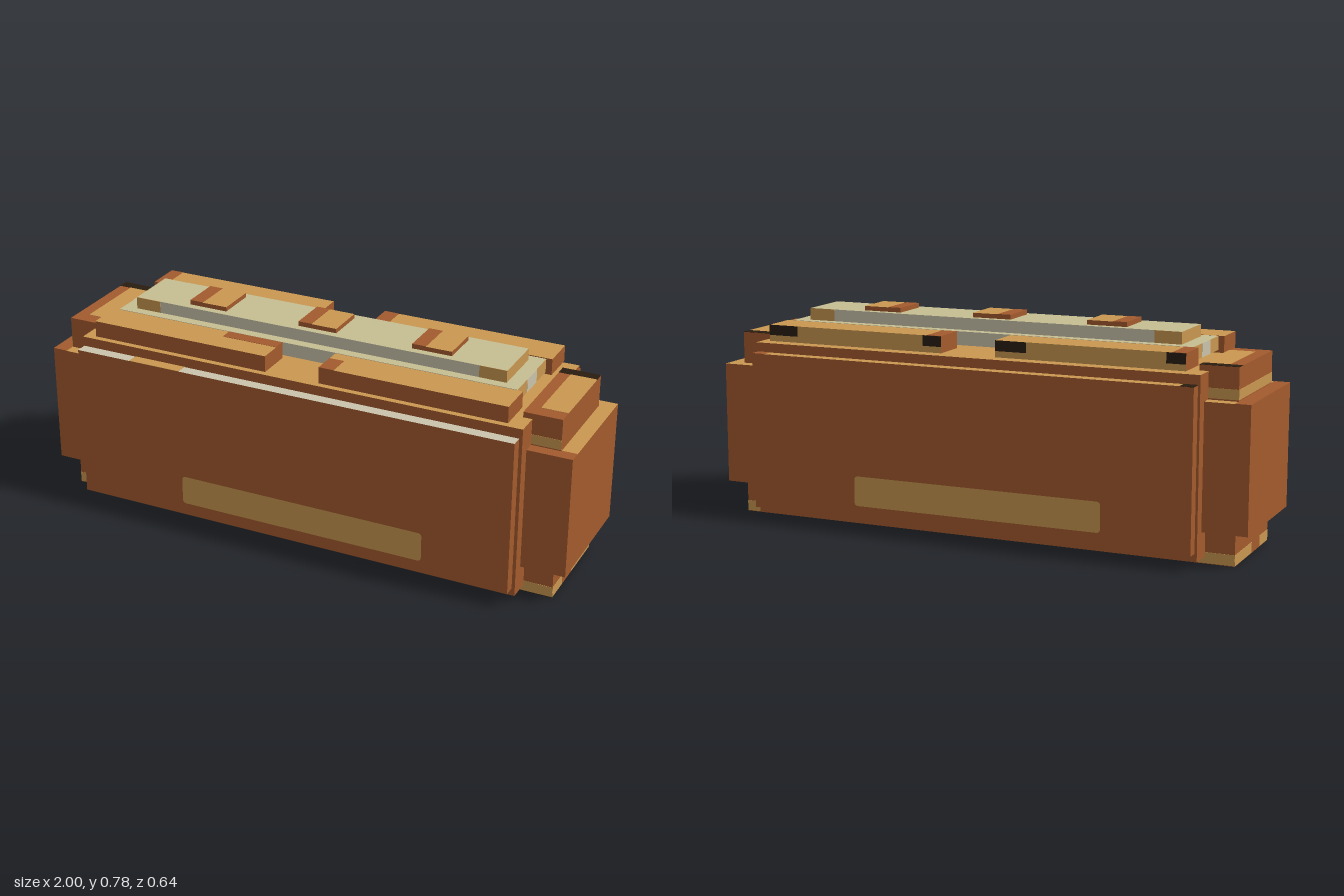
import * as THREE from 'three';

const mat = (name, color) => {
  const m = new THREE.MeshStandardMaterial({ color });
  m.name = name;
  return m;
};

export function createModel() {
  const brown = mat('brown', 0xa35a2d);
  const tan = mat('tan', 0xc99750);
  const cream = mat('cream', 0xcac3ab);
  const paleYellow = mat('paleYellow', 0xc6be92);
  const dark = mat('darkBrown', 0x2a1d10);
  const root = new THREE.Group();

  // Box from min/max ranges; faces overrides colours by side (px nx py ny pz nz)
  function box(name, [x0, x1], [y0, y1], [z0, z1], base = brown, faces = {}) {
    const g = new THREE.BoxGeometry(x1 - x0, y1 - y0, z1 - z0);
    const mats = ['px', 'nx', 'py', 'ny', 'pz', 'nz'].map((k) => faces[k] || base);
    const m = new THREE.Mesh(g, mats);
    m.name = name;
    m.position.set((x0 + x1) / 2, (y0 + y1) / 2, (z0 + z1) / 2);
    root.add(m);
  }

  // Painted patch: a plate 0.002 thick lying over a face
  function patch(name, material, [x0, x1], [y0, y1], [z0, z1]) {
    const t = 0.002;
    const r = [[x0, x1], [y0, y1], [z0, z1]].map(([a, b]) => (a === b ? [a - t / 2, b + t / 2] : [a, b]));
    box(name, r[0], r[1], r[2], material);
  }

  // Main body
  box('body', [-0.84, 0.84], [0.025, 0.655], [-0.275, 0.275], brown, { py: tan });

  // Long side panels with a rounded stripe
  const stripeShape = new THREE.Shape();
  const hw = 0.467, hh = 0.054, c = 0.015;
  stripeShape.moveTo(-hw + c, -hh);
  stripeShape.lineTo(hw - c, -hh);
  stripeShape.quadraticCurveTo(hw, -hh, hw, -hh + c);
  stripeShape.lineTo(hw, hh - c);
  stripeShape.quadraticCurveTo(hw, hh, hw - c, hh);
  stripeShape.lineTo(-hw + c, hh);
  stripeShape.quadraticCurveTo(-hw, hh, -hw, hh - c);
  stripeShape.lineTo(-hw, -hh + c);
  stripeShape.quadraticCurveTo(-hw, -hh, -hw + c, -hh);
  const stripeGeo = new THREE.ShapeGeometry(stripeShape);
  const px = [-0.833, 0.83], py = [0.055, 0.622];
  box('frontPanel', px, py, [0.279, 0.321], brown, { py: cream, ny: cream });
  box('backPanel', px, py, [-0.321, -0.279], brown, { py: tan, ny: cream });
  for (const s of [1, -1]) {
    const stripe = new THREE.Mesh(stripeGeo, tan);
    stripe.name = s > 0 ? 'frontStripe' : 'backStripe';
    stripe.position.set(s * 0.047, 0.155, s * 0.3225);
    if (s < 0) stripe.rotation.y = Math.PI;
    root.add(stripe);
  }
  patch('frontPanelTopPatch', tan, [-0.62, -0.42], [0.622, 0.622], [0.279, 0.321]);
  patch('backPanelDarkEnd', dark, [-0.833, -0.785], [0.622, 0.622], [-0.321, -0.279]);
  patch('backPanelBrownEnd', brown, [0.78, 0.83], [0.622, 0.622], [-0.321, -0.279]);

  // End columns and outer end blocks
  for (const s of [1, -1]) {
    const side = s > 0 ? 'left' : 'right';
    const X = (a, b) => (s > 0 ? [a, b] : [-b, -a]);
    box(side + 'EndColumn', X(0.808, 0.945), [0, 0.675], [-0.19, 0.19]);
    box(side + 'EndBlock', X(0.84, 1), [0.118, 0.56], [-0.232, 0.232], brown, { py: tan });
    patch(side + 'ColumnTopDark', dark, X(0.808, 0.945), [0.675, 0.675], [-0.19, -0.15]);
    patch(side + 'ColumnBottomDark', dark, X(0.808, 0.945), [0, 0].map(() => 0.0005), [0.15, 0.19]);
    const topTan = s > 0 ? [0.85, 0.945] : [-0.9, -0.808];
    patch(side + 'ColumnTopTan', tan, topTan, [0.675, 0.675], [-0.15, 0.137]);
    // Tan bands around the foot
    for (const z of [0.19, -0.19])
      patch(side + 'FootBand', tan, X(0.808, 0.945), [0.002, 0.04], [z, z]);
    patch(side + 'FootSideFront', tan, [s * 0.945, s * 0.945], [0.002, 0.04], [0.095, 0.19]);
    patch(side + 'FootSideBack', tan, [s * 0.945, s * 0.945], [0.002, 0.04], [-0.19, 0]);
  }
  patch('leftColumnFrontBand', tan, [0.84, 0.945], [0.565, 0.6], [0.19, 0.19]);
  patch('rightColumnBackBand', tan, [-0.945, -0.84], [0.565, 0.6], [-0.19, -0.19]);
  patch('rightColumnSideBand', tan, [-0.945, -0.945], [0.565, 0.6], [-0.19, 0.19]);
  patch('rightBlockTopEdge', brown, [-1, -0.945], [0.56, 0.56], [-0.232, 0.232]);
  patch('leftBlockTopEdge', brown, [0.84, 1], [0.56, 0.56], [0.185, 0.232]);

  // Four roof rails
  const ry = [0.663, 0.722], L = [-0.788, -0.105], R = [0.1, 0.785];
  for (const [n, x] of [['right', L], ['left', R]]) {
    box(n + 'FrontRail', x, ry, [0.139, 0.268], brown, { py: tan });
    box(n + 'BackRail', x, ry, [-0.27, -0.142], brown, { py: tan, nz: tan });
  }
  patch('railTopPatch', brown, [-0.788, -0.74], [0.722, 0.722], [-0.27, -0.142]);
  patch('railTopPatch', brown, [0.1, 0.155], [0.722, 0.722], [-0.27, -0.142]);
  patch('railTopPatch', brown, [-0.315, -0.105], [0.722, 0.722], [0.139, 0.185]);
  patch('railTopPatch', brown, [0.1, 0.155], [0.722, 0.722], [0.185, 0.268]);
  for (const x of [[0.67, 0.785], [0.1, 0.17], [-0.22, -0.105], [-0.788, -0.72]])
    patch('railBackDark', dark, x, [0.685, 0.722], [-0.27, -0.27]);

  // Stepped roof plates
  box('lowerRoofPlate', [-0.768, 0.765], [0.673, 0.722], [-0.136, 0.136], cream, { py: paleYellow, px: tan, nx: tan });
  box('upperRoofPlate', [-0.715, 0.713], [0.722, 0.765], [-0.1, 0.1], cream, { py: paleYellow, px: tan, nx: tan });
  for (const x of [0.765, -0.768])
    patch('lowerPlateEndPatch', cream, [x, x], [0.673, 0.722], [-0.045, 0.045]);
  for (const z of [0.1, -0.1]) {
    patch('upperPlateEndPatch', tan, [-0.715, -0.618], [0.722, 0.765], [z, z]);
    patch('upperPlateEndPatch', tan, [0.614, 0.713], [0.722, 0.765], [z, z]);
  }

  // Three roof studs
  for (const x of [-0.508, -0.075, 0.357]) {
    box('stud', [x, x + 0.146], [0.765, 0.781], [-0.073, 0.073], brown, { py: tan });
    patch('studPatch', brown, [x, x + 0.05], [0.781, 0.781], [-0.073, 0.073]);
  }
  return root;
}
